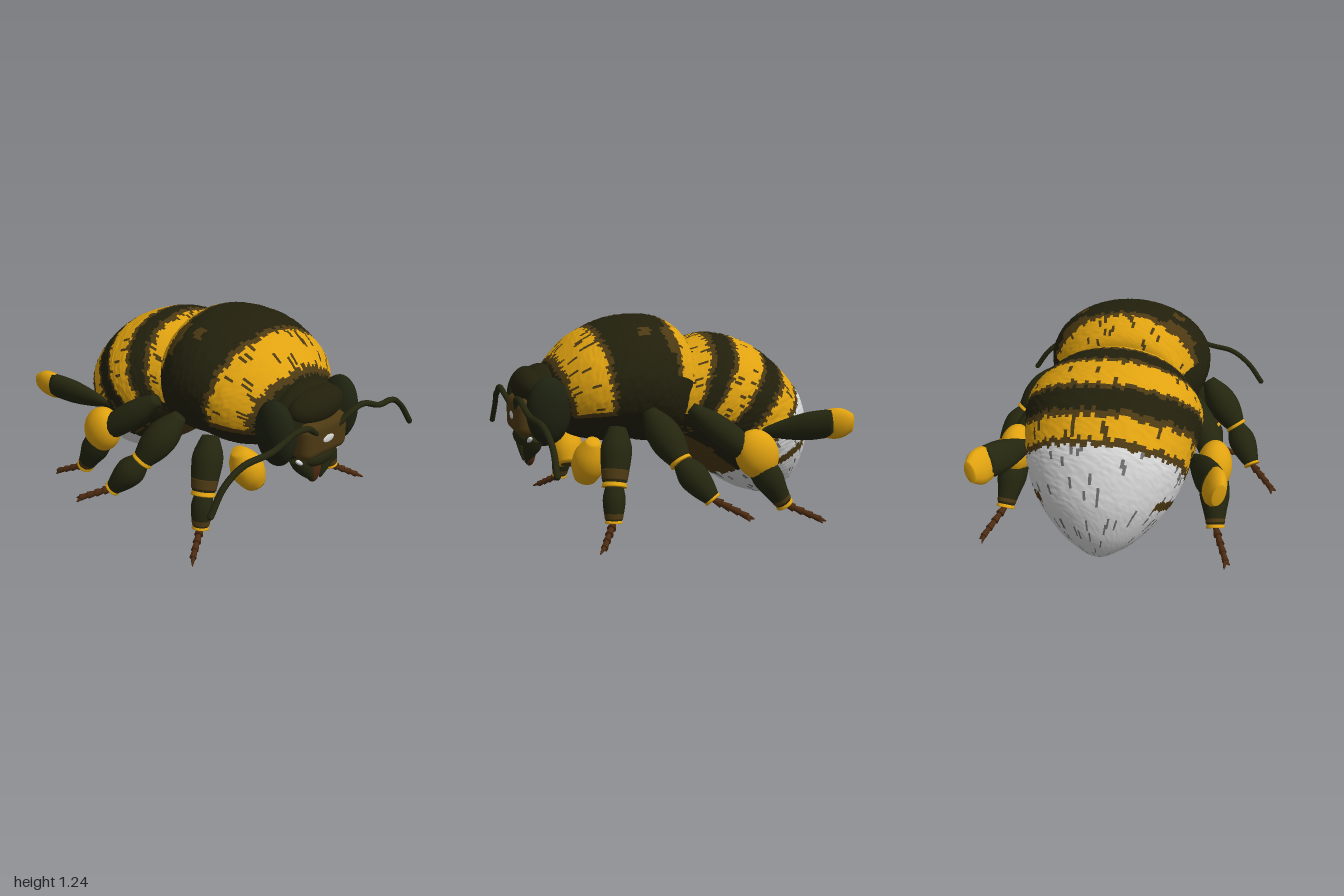
import * as THREE from 'three';
import { RoundedBoxGeometry } from 'three/addons/geometries/RoundedBoxGeometry.js';

const V = (x, y, z) => new THREE.Vector3(x, y, z);
const mat = (name, color) => {
  const m = new THREE.MeshStandardMaterial({ color });
  m.name = name;
  return m;
};
const hash = (a, b) => {
  const s = Math.sin(a * 127.1 + b * 311.7) * 43758.5453;
  return s - Math.floor(s);
};

export function createModel() {
  const bee = new THREE.Group();
  bee.name = 'bumblebee';
  const black = mat('blackFur', 0x22200c), yellow = mat('yellowFur', 0xe0a210);
  const brown = mat('brownFur', 0x4c3913), white = mat('whiteFur', 0xd6d6d6);
  const grey = mat('greyFur', 0x70706e), legDark = mat('legShell', 0x24260f);
  const eyeMat = mat('eye', 0x1e2210), footMat = mat('footBrown', 0x4b2a10);
  const palette = [black, yellow, brown, white, grey];

  const add = (parent, name, geometry, material) => {
    const m = new THREE.Mesh(geometry, material);
    m.name = name;
    parent.add(m);
    return m;
  };
  const ellipsoid = (parent, name, p, r, material, rot = [0, 0, 0]) => {
    const m = add(parent, name, new THREE.SphereGeometry(1, 28, 20), material);
    m.position.set(...p);
    m.scale.set(...r);
    m.rotation.set(...rot);
    return m;
  };

  // Furry body: rings of [topZ, topY, bottomZ, bottomY, halfWidth]; paint picks a colour for each face
  function furBody(name, rings, paint) {
    const cols = 144, n = rings.length - 1, rows = n * 12;
    const tops = new THREE.CatmullRomCurve3(rings.map(r => V(r[4], r[1], r[0])), false, 'catmullrom');
    const lows = new THREE.CatmullRomCurve3(rings.map(r => V(0, r[3], r[2])), false, 'catmullrom');
    const pos = [], faces = palette.map(() => []);
    for (let i = 0; i <= rows; i++) {
      const a = tops.getPoint(i / rows), b = lows.getPoint(i / rows);
      for (let j = 0; j < cols; j++) {
        const q = j / cols * Math.PI * 2, k = 1 + (hash(i, j) - 0.5) * 0.016;
        const s = Math.sin(q) * k / 2;
        pos.push(Math.max(a.x, 0) * Math.cos(q) * k, (a.y + b.y) / 2 + (a.y - b.y) * s, (a.z + b.z) / 2 + (a.z - b.z) * s);
      }
    }
    for (let i = 0; i < rows; i++) for (let j = 0; j < cols; j++) {
      const jag = (hash(j, 7) - 0.5) * 0.24;
      const streak = hash(j, Math.floor(i / 5 + hash(j, 3) * 5)) < 0.07;
      const s = Math.sin((j + 0.5) / cols * Math.PI * 2) + jag * 0.4;
      const c = paint((i + 0.5) / rows * n + jag, s, streak);
      const k = (j + 1) % cols, p = i * cols, r = p + cols;
      faces[palette.indexOf(c)].push(p + j, r + j, r + k, p + j, r + k, p + k);
    }
    const g = new THREE.BufferGeometry();
    g.setAttribute('position', new THREE.Float32BufferAttribute(pos, 3));
    g.setIndex(faces.flat());
    let start = 0;
    faces.forEach((f, m) => { g.addGroup(start, f.length, m); start += f.length; });
    g.computeVertexNormals();
    add(bee, name, g, palette);
  }
  const band = (bands, t) => bands.find(b => t < b[0])[1];

  const thoraxBands = [[0.85, black], [1.2, brown], [2.85, yellow], [3.1, brown], [6.05, black], [6.4, brown], [99, yellow]];
  furBody('thorax', [
    [0.80, 0.90, 0.70, 0.60, 0.22], [0.74, 1.00, 0.64, 0.55, 0.33], [0.62, 1.12, 0.56, 0.52, 0.43],
    [0.50, 1.19, 0.45, 0.50, 0.48], [0.35, 1.245, 0.32, 0.50, 0.51], [0.20, 1.26, 0.20, 0.48, 0.51],
    [0.08, 1.25, 0.08, 0.46, 0.47], [-0.03, 1.20, 0, 0.45, 0.40], [-0.10, 1.12, -0.04, 0.46, 0.36], [-0.10, 1.0, -0.04, 0.55, 0.25],
  ], (t, s, streak) => {
    const low = t < 4 ? -0.28 : 0.2;
    if (s < low) return s > low - 0.15 && t > 0.9 && t < 3 ? brown : black;
    if (Math.abs(t - 4.75) < 0.25 && Math.abs(s - 0.8) < 0.06) return brown;
    if (t > 5.6 && t < 6.4 && s > 0.5 && s < 0.85) return brown;
    const c = band(thoraxBands, t);
    return c === yellow && streak ? brown : c;
  });

  const abdomenBands = [[1.75, yellow], [2.05, brown], [2.95, black], [3.2, brown], [4.75, yellow], [5, brown],
    [5.85, black], [6.1, brown], [6.85, yellow], [7.15, brown], [99, white]];
  furBody('abdomen', [
    [0.05, 1.05, 0.06, 0.50, 0.36], [-0.10, 1.08, 0.06, 0.485, 0.40], [-0.27, 1.13, 0.05, 0.47, 0.44],
    [-0.40, 1.12, 0.02, 0.455, 0.49], [-0.52, 1.08, -0.02, 0.43, 0.525], [-0.62, 1.03, -0.07, 0.40, 0.53],
    [-0.75, 0.93, -0.16, 0.33, 0.51], [-0.87, 0.81, -0.31, 0.225, 0.47], [-0.93, 0.72, -0.42, 0.15, 0.43],
    [-0.98, 0.58, -0.53, 0.09, 0.36], [-1.0, 0.45, -0.62, 0.06, 0.28], [-0.98, 0.28, -0.68, 0.04, 0.19],
    [-0.92, 0.14, -0.73, 0.03, 0.10], [-0.86, 0.07, -0.77, 0.03, 0.045], [-0.81, 0.04, -0.80, 0.03, 0],
  ], (t, s, streak) => {
    const c = band(abdomenBands, t);
    if (c === white) return s > -0.5 && s < 0.42 && Math.abs(t - 8.6 - 1.2 * s) < 0.22 ? brown : streak ? grey : white;
    if (s < (t > 6 ? -0.1 : -0.35)) return s < -0.75 || streak ? brown : black;
    return c === yellow && streak ? brown : c;
  });

  // Head, face and mouth
  const head = new THREE.Group();
  head.name = 'head';
  bee.add(head);
  ellipsoid(head, 'skull', [0, 0.73, 0.79], [0.27, 0.25, 0.155], black);
  ellipsoid(head, 'forehead', [0, 0.85, 0.86], [0.21, 0.11, 0.10], black);
  const face = add(head, 'face', new RoundedBoxGeometry(0.37, 0.23, 0.15, 4, 0.06), brown);
  face.position.set(0, 0.68, 0.895);
  ellipsoid(head, 'upperLip', [0, 0.55, 0.90], [0.13, 0.06, 0.06], legDark);
  ellipsoid(head, 'noseSpot', [0, 0.68, 0.969], [0.045, 0.024, 0.006], white);
  ellipsoid(head, 'tongue', [0, 0.46, 0.87], [0.05, 0.10, 0.04], footMat);

  // Tapered limb piece between two points; radii are spaced evenly along it
  const limb = (parent, name, a, b, radii, material) => {
    const A = V(...a), d = V(...b).sub(A), len = d.length();
    const curve = new THREE.SplineCurve(radii.map((r, i) => new THREE.Vector2(r, len * i / (radii.length - 1))));
    const pts = curve.getPoints(radii.length * 3).map(p => new THREE.Vector2(Math.max(p.x, 0.002), p.y));
    const profile = [new THREE.Vector2(0, 0), ...pts, new THREE.Vector2(0, len)];
    const m = add(parent, name, new THREE.LatheGeometry(profile, 14), material);
    m.position.copy(A);
    m.quaternion.setFromUnitVectors(V(0, 1, 0), d.normalize());
    return m;
  };
  const mix = (a, b, t) => a.map((v, i) => v + (b[i] - v) * t);

  // Foot: short flared joints ending in two claws
  const foot = (parent, a, b, side) => {
    for (let i = 0; i < 4; i++)
      limb(parent, 'footJoint', mix(a, b, i / 4.6), mix(a, b, (i + 1.1) / 4.6), [0.014, 0.026 - i * 0.002], footMat);
    for (const k of [-1, 1]) {
      const p = mix(a, b, 0.86);
      const tip = [b[0] + side * k * 0.015, b[1] - 0.008, b[2] + k * 0.022];
      limb(parent, 'claw', p, tip, [0.013, 0.01, 0.003], footMat);
    }
  };

  // Leg piece with a brown patch and yellow fringe at its far end
  const legPiece = (parent, name, a, b, radii) => {
    const end = radii[radii.length - 1];
    limb(parent, name, a, b, radii, legDark);
    limb(parent, 'brownPatch', mix(a, b, 0.74), mix(a, b, 0.92), [end * 1.27, end * 1.14], brown);
    limb(parent, 'fringe', mix(a, b, 0.89), mix(a, b, 1.03), [end * 0.97, end * 1.14], yellow);
  };

  for (const side of [1, -1]) {
    const group = name => {
      const g = new THREE.Group();
      g.name = (side > 0 ? 'left' : 'right') + name;
      bee.add(g);
      return g;
    };
    const P = (x, y, z) => [side * x, y, z];

    // Eye, cheek, jaw and antenna
    const parts = group('FaceParts');
    ellipsoid(parts, 'eye', P(0.262, 0.735, 0.81), [0.092, 0.20, 0.13], eyeMat, [0, 0, side * -0.1]);
    ellipsoid(parts, 'cheekSpot', P(0.155, 0.55, 0.90), [0.035, 0.014, 0.016], white, [0, 0, side * 0.6]);
    limb(parts, 'jaw', P(0.14, 0.57, 0.86), P(0.03, 0.39, 0.90), [0.05, 0.055, 0.035, 0.005], legDark);
    const feeler = new THREE.CatmullRomCurve3([[0.09, 0.73, 0.955], [0.19, 0.80, 0.98], [0.28, 0.81, 0.98],
      [0.45, 0.745, 0.965], [0.63, 0.715, 0.935], [0.75, 0.63, 0.92], [0.845, 0.50, 0.925]].map(p => V(...P(...p))));
    add(parts, 'antenna', new THREE.TubeGeometry(feeler, 40, 0.018, 8), legDark);
    ellipsoid(parts, 'antennaTip', P(0.845, 0.50, 0.925), [0.018, 0.018, 0.018], legDark);

    // Front leg with its yellow upper stub
    const front = group('FrontLeg');
    limb(front, 'yellowStub', P(0.31, 0.55, 0.56), P(0.18, 0.30, 0.575), [0.04, 0.09, 0.10, 0.07], yellow);
    limb(front, 'stubEnd', P(0.181, 0.302, 0.575), P(0.178, 0.296, 0.576), [0.05, 0.05], brown);
    const f = [P(0.42, 0.64, 0.45), P(0.53, 0.33, 0.51), P(0.57, 0.13, 0.53)];
    legPiece(front, 'thigh', f[0], f[1], [0.05, 0.09, 0.085, 0.065]);
    legPiece(front, 'shin', f[1], f[2], [0.05, 0.065, 0.06, 0.045]);
    foot(front, f[2], P(0.74, 0.03, 0.65), side);

    // Middle leg
    const middle = group('MiddleLeg');
    const m = [P(0.51, 0.74, 0.29), P(0.71, 0.48, 0.18), P(0.83, 0.28, 0.04)];
    legPiece(middle, 'thigh', m[0], m[1], [0.04, 0.09, 0.095, 0.06]);
    legPiece(middle, 'shin', m[1], m[2], [0.05, 0.085, 0.075, 0.045]);
    foot(middle, m[2], P(0.98, 0.19, -0.13), side);

    // Hind leg with pollen ball
    const hind = group('HindLeg');
    const h = [P(0.45, 0.73, 0.0), P(0.61, 0.47, -0.30), P(0.62, 0.38, -0.38), P(0.65, 0.14, -0.53)];
    limb(hind, 'thigh', h[0], h[1], [0.035, 0.075, 0.085, 0.07], legDark);
    ellipsoid(hind, 'pollenBall', P(0.615, 0.455, -0.355), [0.105, 0.155, 0.133], yellow, [0.5, 0, 0]);
    legPiece(hind, 'shin', h[2], h[3], [0.085, 0.09, 0.07, 0.05]);
    foot(hind, h[3], P(0.74, 0.03, -0.76), side);

    // Flattened rear paddle beside the abdomen with yellow tip
    const rear = group('RearPaddle');
    const r = [P(0.48, 0.55, -0.44), P(0.645, 0.61, -0.85), P(0.685, 0.61, -0.975)];
    limb(rear, 'paddle', r[0], r[1], [0.02, 0.065, 0.095, 0.095], legDark).scale.x = 0.62;
    limb(rear, 'paddleTip', mix(r[0], r[1], 0.93), r[2], [0.096, 0.105, 0.095, 0.06], yellow).scale.x = 0.55;
  }
  return bee;
}
